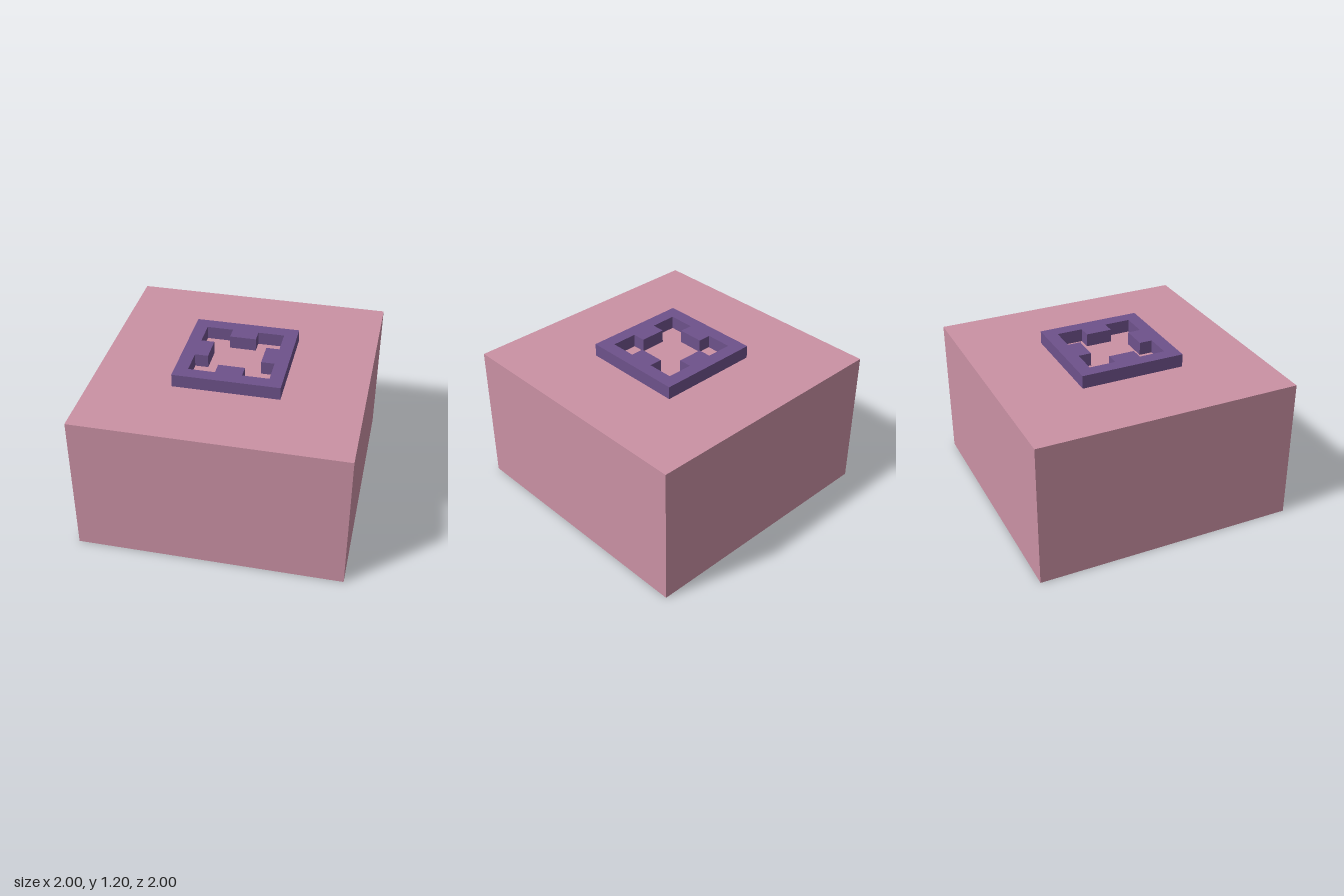
import * as THREE from 'three';

export function createModel() {
  const model = new THREE.Group();
  const pink = new THREE.MeshStandardMaterial({ name: 'pink', color: 0xca91a4 });
  const purple = new THREE.MeshStandardMaterial({ name: 'purple', color: 0x6e528b });

  // Solid block
  const block = new THREE.Mesh(new THREE.BoxGeometry(2, 1.1, 2), pink);
  block.name = 'block';
  block.position.y = 0.55;
  model.add(block);

  // Square frame with a tab pointing inward from the middle of each side
  const outline = new THREE.Shape([[-0.4, -0.4], [0.4, -0.4], [0.4, 0.4], [-0.4, 0.4]]
    .map(([x, y]) => new THREE.Vector2(x, y)));
  const quarter = [[0.2, -0.1], [0.2, 0.1], [0.3, 0.1], [0.3, 0.3], [0.1, 0.3], [0.1, 0.2]];
  const opening = [];
  for (let i = 0; i < 4; i++) {
    // the last two points of each quarter lead into the next tab
    for (const [x, y] of quarter.slice(1, 5)) {
      opening.push(new THREE.Vector2(x, y).rotateAround(new THREE.Vector2(), i * Math.PI / 2));
    }
    opening.push(new THREE.Vector2(...quarter[5]).rotateAround(new THREE.Vector2(), i * Math.PI / 2));
    opening.push(new THREE.Vector2(-0.1, 0.2).rotateAround(new THREE.Vector2(), i * Math.PI / 2));
  }
  // drop the repeated tab corners
  const corners = opening.filter((p, i) => p.distanceTo(opening[(i + 1) % opening.length]) > 1e-4);
  outline.holes.push(new THREE.Path(corners));
  const frameGeometry = new THREE.ExtrudeGeometry(outline, { depth: 0.1, bevelEnabled: false });
  frameGeometry.rotateX(-Math.PI / 2);
  const frame = new THREE.Mesh(frameGeometry, purple);
  frame.name = 'topFrame';
  frame.position.y = 1.1;
  model.add(frame);

  return model;
}
